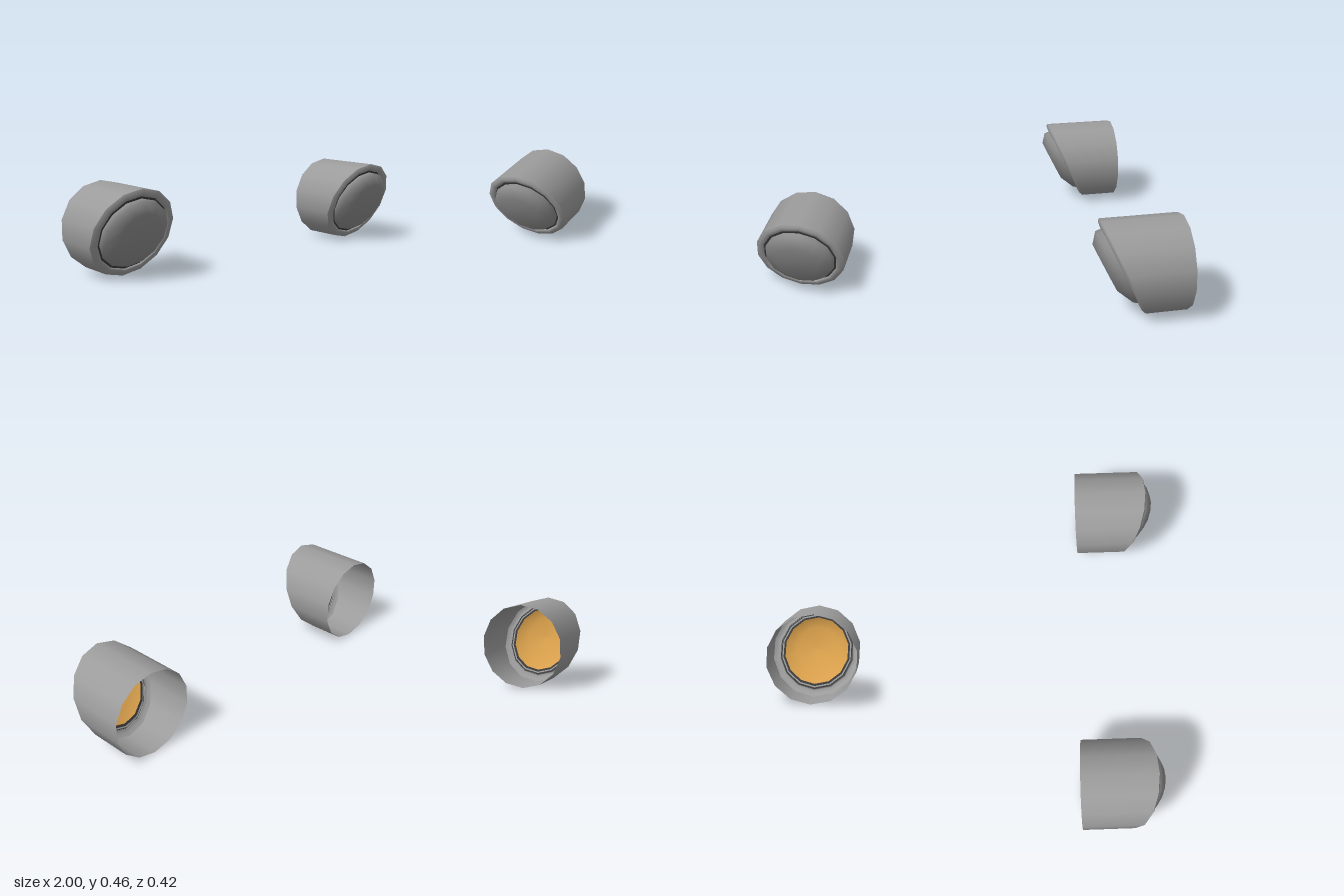
import * as THREE from 'three';

const SIDES = 14, R = 0.228, BACK = -0.212, CENTRE_Z = 0.077, SLANT = 0.44;

const paint = (name, color) => {
  const m = new THREE.MeshStandardMaterial({ color, side: THREE.DoubleSide });
  m.name = name;
  return m;
};

// Revolve a [radius, forward] profile around the z axis
function turned(profile) {
  const g = new THREE.LatheGeometry(profile.map(([r, z]) => new THREE.Vector2(r, z)), SIDES);
  return g.rotateX(Math.PI / 2);
}

// Lean a turned part so its top comes forward
function slanted(profile, slope) {
  const shear = new THREE.Matrix4().set(1, 0, 0, 0, 0, 1, 0, 0, 0, slope, 1, 0, 0, 0, 0, 1);
  return turned(profile).applyMatrix4(shear);
}

// Tube with a straight open back and a slanted front edge
function housingWall() {
  const g = turned([[R, BACK - CENTRE_Z], [R, 0]]);
  const p = g.attributes.position;
  for (let i = 0; i < p.count; i++) {
    if (p.getZ(i) > -0.1) p.setZ(i, SLANT * p.getY(i));
  }
  return g;
}

export function createModel() {
  const grey = paint('housing grey', 0x9c9c9c);
  const glass = paint('lens grey', 0x8c8c8c);
  const dark = paint('gasket dark grey', 0x3c3c3c);
  const amber = paint('amber', 0xd9a04c);

  const parts = [
    ['housing', housingWall(), grey],
    // Rounded lip around the front opening
    ['rim', slanted([[R, 0], [0.214, 0.010], [0.2, 0.012], [0.191, 0.008], [0.188, -0.004]], SLANT), grey],
    // Seal between rim and lens, with a thin retaining ring behind
    ['gasket', slanted([[0.192, 0.002], [0.166, 0.002]], SLANT), dark],
    ['retainingRing', slanted([[0.183, -0.003], [0.176, -0.003]], SLANT), grey],
    // Shallow domed lens and the amber bowl behind it
    ['lens', slanted([[0.179, 0.002], [0.179, 0.010], [0.171, 0.038], [0.112, 0.0815], [0, 0.083]], 0.475), glass],
    ['amberBowl', slanted([[0.167, 0.003], [0.11, 0.045], [0, 0.055]], SLANT), amber],
  ];

  const model = new THREE.Group();
  model.name = 'lampPair';
  for (const side of [1, -1]) {
    const lamp = new THREE.Group();
    lamp.name = side > 0 ? 'leftLamp' : 'rightLamp';
    lamp.position.set(side * 0.778, R, CENTRE_Z);
    for (const [name, geometry, material] of parts) {
      const mesh = new THREE.Mesh(geometry, material);
      mesh.name = name;
      lamp.add(mesh);
    }
    model.add(lamp);
  }
  return model;
}
